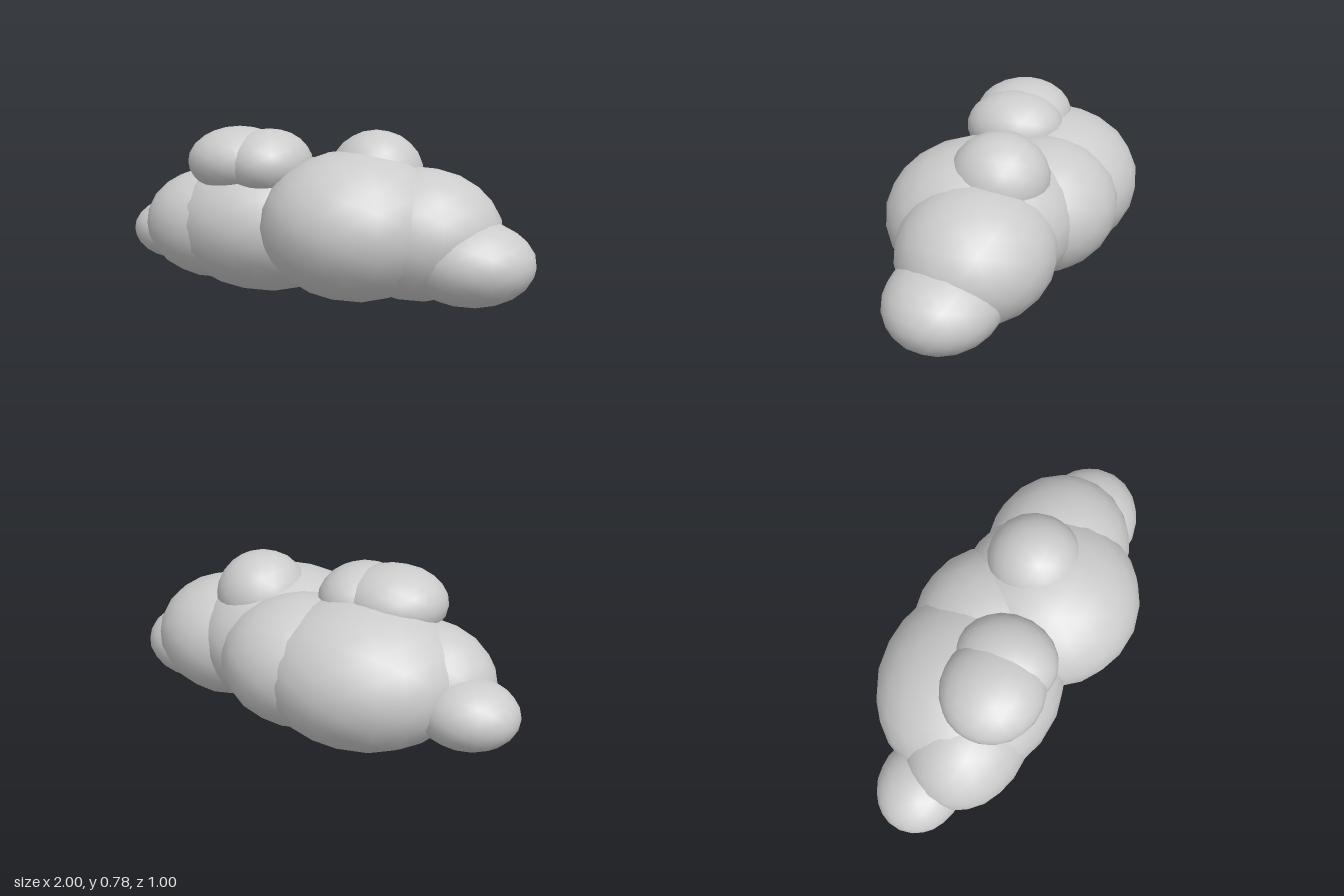
import * as THREE from 'three';

// Each puff: name, centre [x, y, z], radii [x, y, z]
const PUFFS = [
  // main row of the cloud
  ['frontPuff', [0.22, 0.36, 0.08], [0.42, 0.33, 0.42]],
  ['backPuff', [-0.28, 0.33, -0.09], [0.475, 0.33, 0.415]],
  ['backMiddlePuff', [0.0, 0.34, -0.12], [0.375, 0.3, 0.35]],
  ['leftPuff', [0.48, 0.33, 0.02], [0.37, 0.29, 0.335]],
  ['rightPuff', [-0.51, 0.32, 0.0], [0.34, 0.26, 0.27]],
  // small end puffs
  ['leftTipPuff', [0.72, 0.23, 0.075], [0.28, 0.185, 0.245]],
  ['rightTipPuff', [-0.78, 0.26, -0.11], [0.22, 0.15, 0.19]],
  // crown puffs
  ['crownRightPuff', [-0.35, 0.62, 0.055], [0.24, 0.16, 0.225]],
  ['crownMiddlePuff', [-0.205, 0.613, 0.055], [0.195, 0.158, 0.225]],
  ['crownLeftPuff', [0.28, 0.572, -0.02], [0.21, 0.2, 0.215]],
];

export function createModel() {
  const cloud = new THREE.Group();
  cloud.name = 'cloud';
  const cloudGrey = new THREE.MeshStandardMaterial({ color: 0xcccccc });
  cloudGrey.name = 'cloudGrey';

  // one smooth ball shared by every puff
  const ball = new THREE.IcosahedronGeometry(1, 3);

  for (const [name, centre, radii] of PUFFS) {
    const puff = new THREE.Mesh(ball, cloudGrey);
    puff.name = name;
    puff.position.set(...centre);
    puff.scale.set(...radii);
    cloud.add(puff);
  }
  return cloud;
}
